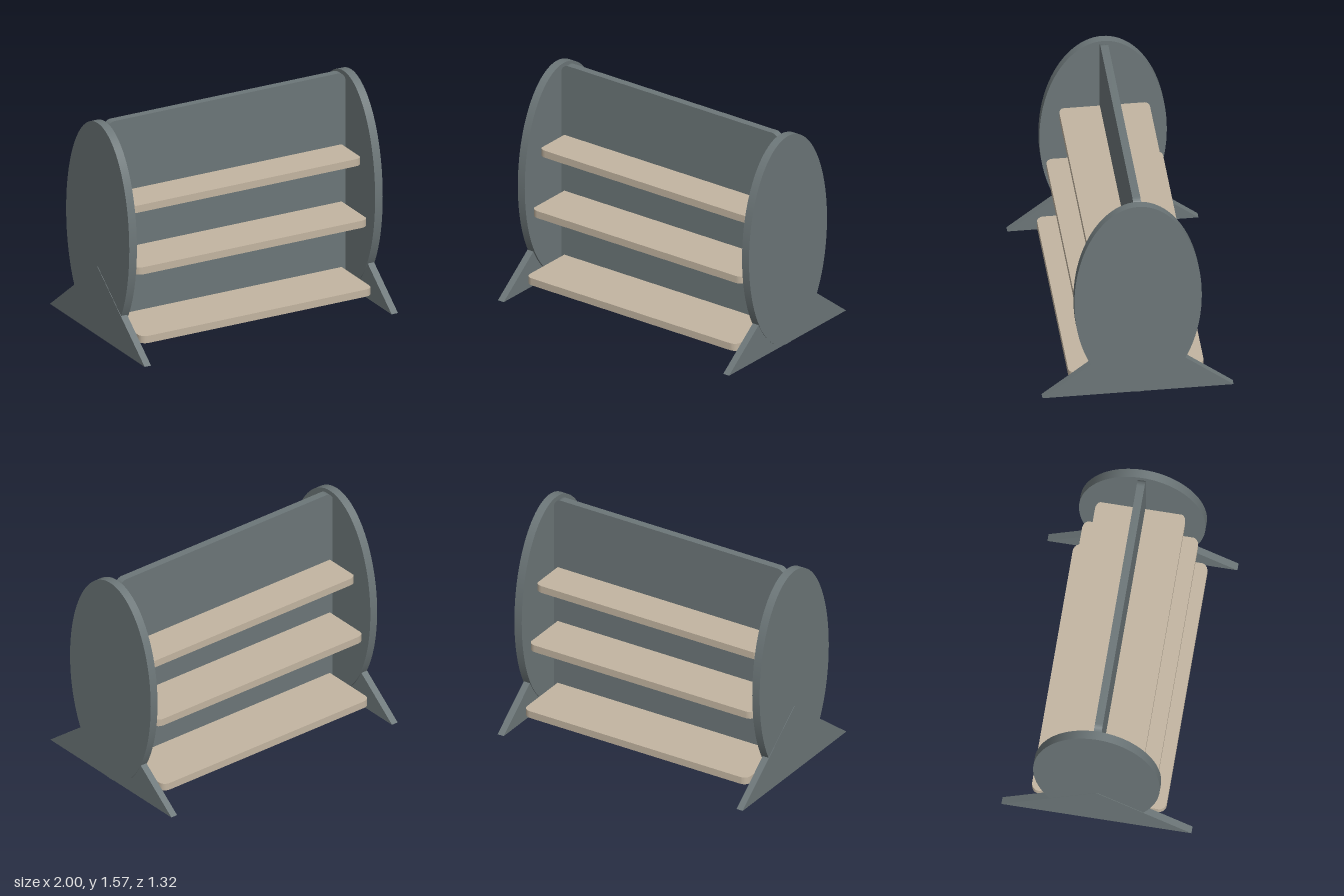
import * as THREE from 'three';
import { toCreasedNormals } from 'three/addons/utils/BufferGeometryUtils.js';

const HEIGHT = 1.57;

// Flat slab with rounded corners, centred on the origin in XY and in depth
function roundedSlab(w, h, depth, rx, ry) {
  const x = w / 2, y = h / 2, q = Math.PI / 2;
  const s = new THREE.Shape();
  s.moveTo(-x + rx, -y);
  s.lineTo(x - rx, -y);
  s.absellipse(x - rx, -y + ry, rx, ry, -q, 0);
  s.absellipse(x - rx, y - ry, rx, ry, 0, q);
  s.absellipse(-x + rx, y - ry, rx, ry, q, 2 * q);
  s.absellipse(-x + rx, -y + ry, rx, ry, 2 * q, 3 * q);
  const g = new THREE.ExtrudeGeometry(s, { depth, bevelEnabled: false, curveSegments: 10 });
  g.translate(0, 0, -depth / 2);
  return toCreasedNormals(g, 0.5);
}

export function createModel() {
  const model = new THREE.Group();
  model.name = 'displayShelf';

  const grey = new THREE.MeshStandardMaterial({ name: 'slate grey', color: 0x6c7678 });
  const beige = new THREE.MeshStandardMaterial({ name: 'pale wood', color: 0xc3b5a1 });

  const add = (name, geometry, material, x, y, z) => {
    const mesh = new THREE.Mesh(geometry, material);
    mesh.name = name;
    mesh.position.set(x, y, z);
    model.add(mesh);
  };

  // Upright panel dividing front from back
  add('centrePanel', roundedSlab(1.876, HEIGHT - 0.004, 0.055, 0.06, 0.06), grey, 0, HEIGHT / 2 + 0.002, -0.002);

  // Shelves run through the panel, deeper towards the bottom
  const shelves = [
    ['bottomShelf', 0.107, 0.935],
    ['middleShelf', 0.592, 0.805],
    ['topShelf', 1.015, 0.626],
  ];
  for (const [name, y, depth] of shelves) {
    const g = roundedSlab(1.82, depth, 0.053, 0.055, depth * 0.055);
    g.rotateX(-Math.PI / 2);
    add(name, g, beige, -0.002, y, -0.002);
  }

  // Oval end panels
  const oval = new THREE.CylinderGeometry(1, 1, 0.06, 96);
  oval.rotateZ(Math.PI / 2);
  oval.scale(1, HEIGHT / 2, 0.44);
  add('leftEndPanel', oval, grey, 0.968, HEIGHT / 2, 0);
  add('rightEndPanel', oval, grey, -0.967, HEIGHT / 2, 0);

  // Triangular feet; the right one stands just proud of its end panel
  const tri = new THREE.Shape();
  tri.moveTo(-0.66, 0);
  tri.lineTo(0.66, 0);
  tri.lineTo(0, 0.51);
  tri.closePath();
  const foot = new THREE.ExtrudeGeometry(tri, { depth: 0.05, bevelEnabled: false });
  foot.translate(0, 0, -0.025);
  foot.rotateY(Math.PI / 2);
  add('leftFoot', foot, grey, 0.969, 0, 0);
  add('rightFoot', foot, grey, -0.975, 0, 0);

  return model;
}
